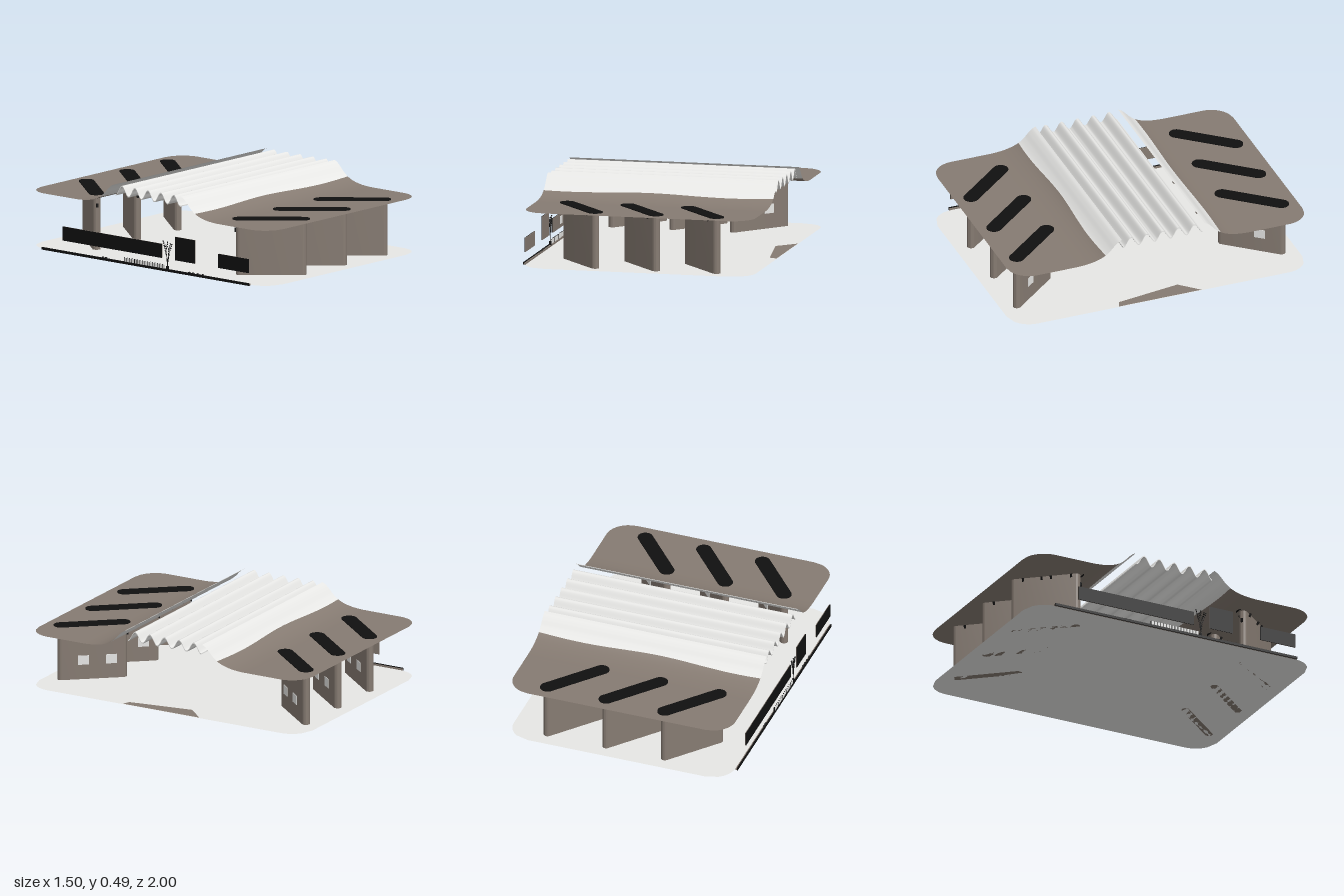
import * as THREE from 'three';
import { toCreasedNormals } from 'three/addons/utils/BufferGeometryUtils.js';
import { ParametricGeometry } from 'three/addons/geometries/ParametricGeometry.js';

const material = (name, color, side = THREE.FrontSide) => {
  const m = new THREE.MeshStandardMaterial({ color, side });
  m.name = name;
  return m;
};
const X0 = -0.735, X1 = 0.75, XC = (X0 + X1) / 2, HALF = (X1 - X0) / 2, CORNER = 0.15;
const lerp = THREE.MathUtils.lerp;

// Half width of the rounded outline at a given z
function halfWidth(z) {
  const d = Math.max(0, Math.abs(z) - (1 - CORNER));
  return HALF - CORNER + Math.sqrt(Math.max(0, CORNER * CORNER - d * d));
}

// Roof height: flat at the rim, sweeping up to the corrugated middle
const rise = new THREE.CatmullRomCurve3([
  [0.28, 0.492], [0.30, 0.482], [0.325, 0.46], [0.355, 0.428], [0.39, 0.4],
  [0.43, 0.381], [0.49, 0.366], [0.56, 0.359], [0.62, 0.358],
].map(([z, y]) => new THREE.Vector3(0, y, z))).getPoints(80);
function roofHeight(z) {
  const a = Math.abs(z);
  const i = rise.findIndex((p) => p.z >= a);
  if (i < 0) return 0.358;
  if (i === 0) return rise[0].y;
  const p = rise[i - 1], q = rise[i];
  return lerp(p.y, q.y, (a - p.z) / (q.z - p.z));
}

// Capsule-shaped prism standing on y = 0, long axis on local x
function capsule(half, r, height) {
  const s = new THREE.Shape();
  s.moveTo(-half, -r);
  s.lineTo(half, -r);
  s.absarc(half, 0, r, -Math.PI / 2, Math.PI / 2, false);
  s.lineTo(-half, r);
  s.absarc(-half, 0, r, Math.PI / 2, Math.PI * 1.5, false);
  const g = new THREE.ExtrudeGeometry(s, { depth: height, bevelEnabled: false, curveSegments: 16 });
  return toCreasedNormals(g.rotateX(-Math.PI / 2), 0.6);
}

export function createModel() {
  const model = new THREE.Group();
  model.name = 'pavilion';
  const brown = material('brown', 0x867b72);
  const brownSheet = material('brownSheet', 0x867b72, THREE.DoubleSide);
  const white = material('white', 0xe9e9e7);
  const whiteSheet = material('whiteSheet', 0xe9e9e7, THREE.DoubleSide);
  const black = material('black', 0x101010);

  const add = (parent, name, geometry, mat, x = 0, y = 0, z = 0) => {
    const mesh = new THREE.Mesh(geometry, mat);
    mesh.name = name;
    mesh.position.set(x, y, z);
    parent.add(mesh);
    return mesh;
  };
  const box = (parent, name, size, mat, x, y, z) =>
    add(parent, name, new THREE.BoxGeometry(...size), mat, x, y, z);

  // Ground plate: a thin sheet with rounded corners
  add(model, 'groundPlate', new ParametricGeometry((u, v, t) => {
    const z = lerp(-1, 1, u);
    t.set(XC + halfWidth(z) * (2 * v - 1), 0.004, z);
  }, 80, 4), whiteSheet);
  const patch = new THREE.Shape([[0.75, -0.3], [0.7, -0.28], [0.635, 0.14], [0.75, 0.26]]
    .map(([x, y]) => new THREE.Vector2(x, y)));
  add(model, 'groundPatch', new THREE.ShapeGeometry(patch).rotateX(-Math.PI / 2), brown, 0, 0.007, 0);

  // Roof wings: brown rim with a white sweep and a gently wavy boundary
  const border = (v) => 0.39 + 0.008 * Math.sin(v * 9 + 0.6);
  for (const s of [1, -1]) {
    const wing = (name, inner, outer, mat) => add(model, name, new ParametricGeometry((u, v, t) => {
      const k = s > 0 ? u : 1 - u;
      const z = s * lerp(inner(v), outer(v), k);
      t.set(XC + halfWidth(z) * (2 * v - 1), roofHeight(z), z);
    }, 60, 40), mat);
    wing('roofRim', border, () => 1, brownSheet);
    wing('roofSweep', () => 0.28, border, whiteSheet);
  }

  // Corrugated roof middle: five waves
  const wave = new THREE.Shape();
  const N = 90, top = [], bottom = [];
  for (let i = 0; i <= N; i++) {
    const z = lerp(-0.268, 0.268, i / N);
    const y = 0.462 + 0.031 * Math.cos((z / 0.1072) * Math.PI * 2);
    top.push(new THREE.Vector2(z, y));
    bottom.unshift(new THREE.Vector2(z, y - 0.007));
  }
  wave.setFromPoints([...top, ...bottom]);
  const corrugated = new THREE.ExtrudeGeometry(wave, { depth: 1.47, bevelEnabled: false });
  add(model, 'corrugatedRoof', toCreasedNormals(corrugated.rotateY(-Math.PI / 2), 0.8), white, 0.742, 0, 0);

  // Slanted wall pillars with black roof slots, windows and spotlights
  const L = Math.hypot(0.1265, 0.15);
  const pillarGeo = capsule(L, 0.025, 0.353);
  const slotGeo = capsule(L, 0.048, 0.005);
  const lampGeo = new THREE.CylinderGeometry(0.007, 0.007, 0.022, 8);
  for (const s of [1, -1]) {
    for (const x of [-0.405, -0.012, 0.38]) {
      const g = new THREE.Group();
      g.name = 'pillarGroup';
      g.position.set(x, 0, s * 0.744);
      g.rotation.y = -s * Math.atan2(0.15, 0.1265);
      model.add(g);
      add(g, 'pillar', pillarGeo, brown, 0, 0.004, 0);
      add(g, 'roofSlot', slotGeo, black, 0, 0.359, 0);
      for (const wx of [0.06, -0.12]) {
        box(g, 'window', [0.07, 0.06, 0.004], white, wx, 0.13, -s * 0.026);
      }
      for (const side of [1, -1]) {
        for (const lx of [-0.17, -0.04, 0.02, 0.14]) {
          add(g, 'spotlight', lampGeo, black, lx, 0.342, side * 0.034).rotation.x = side * 0.4;
        }
      }
      box(g, 'wallLamp', [0.012, 0.025, 0.014], black, -L - 0.028, 0.29, 0);
    }
  }

  // Side screens: black outside, brown inside
  const screens = [[-0.69, 0.13, 0.08, 0.17], [0.24, 0.405, 0.08, 0.23], [0.6, 0.85, 0.08, 0.17]];
  for (const [z0, z1, y0, y1] of screens) {
    const size = [0.004, y1 - y0, z1 - z0];
    box(model, 'screenInside', size, brown, -0.742, (y0 + y1) / 2, (z0 + z1) / 2);
    box(model, 'screenOutside', size, black, -0.746, (y0 + y1) / 2, (z0 + z1) / 2);
  }
  for (const [z, w] of [[-0.085, 0.05], [-0.3, 0.022]]) {
    box(model, 'screenWindow', [0.003, 0.05, w], white, -0.7395, 0.128, z);
  }

  // Kerb along the same side
  box(model, 'kerbInside', [0.008, 0.012, 1.72], brown, -0.743, 0.006, 0);
  box(model, 'kerbOutside', [0.007, 0.016, 1.72], black, -0.7505, 0.008, 0);

  // Low railing
  for (let i = 0; i < 16; i++) {
    const z = 0.15 - i * 0.021;
    box(model, 'railPost', [0.008, 0.028, 0.014], white, -0.748, 0.026, z);
    box(model, 'railGap', [0.006, 0.034, 0.004], black, -0.748, 0.025, z - 0.0105);
  }

  // Potted twigs
  add(model, 'pot', new THREE.CylinderGeometry(0.009, 0.007, 0.03, 10), black, -0.746, 0.018, 0.178);
  for (let i = 0; i < 7; i++) {
    const lean = (i - 3) / 3, h = 0.17 + 0.02 * Math.cos(i * 2.3);
    const curve = new THREE.QuadraticBezierCurve3(
      new THREE.Vector3(-0.746, 0.03, 0.178),
      new THREE.Vector3(-0.746, h * 0.6, 0.178 + lean * 0.01),
      new THREE.Vector3(-0.746, h, 0.178 + lean * 0.035));
    add(model, 'twig', new THREE.TubeGeometry(curve, 8, 0.0013, 5), black);
    for (const t of [0.82, 0.92, 1]) {
      const p = curve.getPoint(t);
      add(model, 'bud', new THREE.IcosahedronGeometry(0.005, 0), black, p.x, p.y, p.z);
    }
  }

  // Small stones beside the kerb
  for (const z of [0.47, 0.43, 0.39, 0.36, -0.33, -0.355]) {
    const stone = add(model, 'stone', new THREE.IcosahedronGeometry(0.009, 1), black, -0.746, 0.016, z);
    stone.scale.set(0.7, 0.7, 1.2);
  }
  return model;
}
